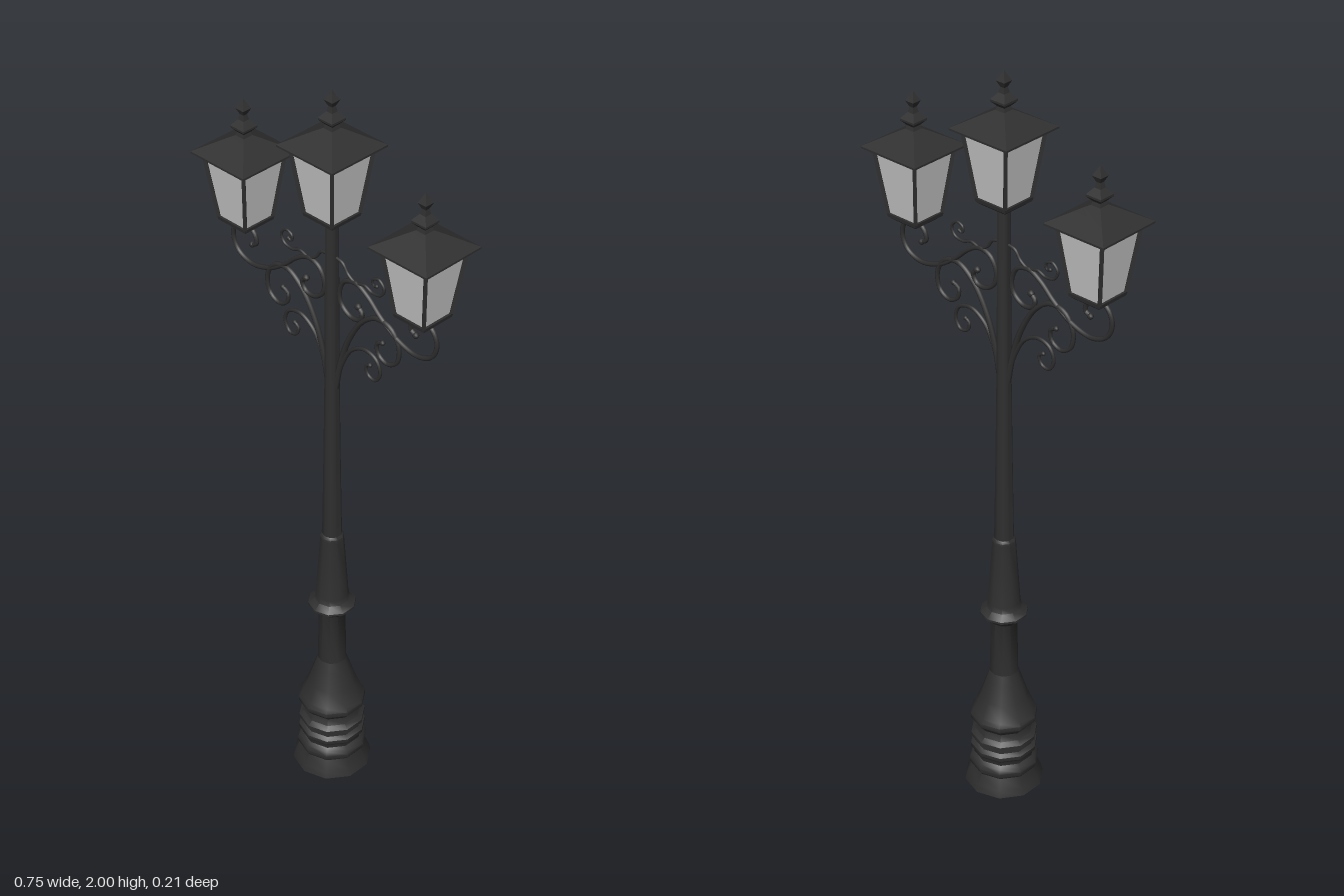
import * as THREE from 'three';
import { toCreasedNormals } from 'three/addons/utils/BufferGeometryUtils.js';

const iron = new THREE.MeshStandardMaterial({ color: 0x2f2f2f });
iron.name = 'dark iron';
const glass = new THREE.MeshStandardMaterial({ color: 0xc8c8c8 });
glass.name = 'pale glass';

function add(parent, geometry, material, name) {
  const mesh = new THREE.Mesh(geometry, material);
  mesh.name = name;
  parent.add(mesh);
  return mesh;
}

// Turned shape from [radius, height] pairs
function turned(profile, sides, crease) {
  const points = profile.map(([r, y]) => new THREE.Vector2(r, y));
  return toCreasedNormals(new THREE.LatheGeometry(points, sides), crease);
}

// Square stack from [half width, height] pairs
function square(profile) {
  const g = turned(profile.map(([w, y]) => [w * Math.SQRT2, y]), 4, 0.3);
  return g.rotateY(Math.PI / 4);
}

// Straight square bar between two points
function bar(parent, a, b, width, name) {
  const from = new THREE.Vector3(...a), to = new THREE.Vector3(...b);
  const mesh = add(parent, new THREE.BoxGeometry(width, width, from.distanceTo(to)), iron, name);
  mesh.position.copy(from).lerp(to, 0.5);
  mesh.lookAt(to);
}

// Wrought scroll: a tube that changes radius along its length, with a bead at its curled end
function scroll(parent, points, r0, r1, bead, name) {
  const path = new THREE.CatmullRomCurve3(points.map(([x, y]) => new THREE.Vector3(x, y, 0)));
  const steps = points.length * 5, sides = 6;
  const g = new THREE.TubeGeometry(path, steps, 1, sides);
  const pos = g.attributes.position, v = new THREE.Vector3();
  for (let i = 0; i <= steps; i++) {
    const c = path.getPointAt(i / steps);
    const r = THREE.MathUtils.lerp(r0, r1, i / steps);
    for (let j = 0; j <= sides; j++) {
      const k = i * (sides + 1) + j;
      v.fromBufferAttribute(pos, k).sub(c).multiplyScalar(r).add(c);
      pos.setXYZ(k, v.x, v.y, v.z);
    }
  }
  add(parent, g, iron, name);
  const end = points[points.length - 1];
  add(parent, new THREE.SphereGeometry(bead, 8, 6), iron, name + 'Bead').position.set(end[0], end[1], 0);
}

// Square lantern, local y = 0 at its underside
function lantern(name) {
  const group = new THREE.Group();
  group.name = name;
  const low = 0.045, high = 0.067, y0 = 0.02, y1 = 0.192;
  add(group, square([[0, 0], [0.034, 0], [0.046, 0.01], [0.048, 0.02], [0, 0.02]]), iron, 'lanternFloor');
  add(group, square([[low - 0.003, y0], [high - 0.003, y1]]), glass, 'panes');
  for (const sx of [-1, 1]) {
    for (const sz of [-1, 1]) {
      bar(group, [sx * low, y0, sz * low], [sx * high, y1, sz * high], 0.009, 'cornerPost');
    }
    bar(group, [sx * high, y1 - 0.003, -high], [sx * high, y1 - 0.003, high], 0.009, 'topRail');
    bar(group, [-high, y1 - 0.003, sx * high], [high, y1 - 0.003, sx * high], 0.009, 'topRail');
  }
  // Roof with thin eave, then the stepped finial
  add(group, square([[0, 0.19], [0.088, 0.19], [0.088, 0.195], [0.025, 0.232], [0.014, 0.238], [0, 0.238]]), iron, 'roof');
  add(group, square([[0.016, 0.23], [0.011, 0.247], [0.022, 0.259], [0.022, 0.264], [0.009, 0.28],
    [0.006, 0.294], [0.013, 0.309], [0.005, 0.324], [0, 0.335]]), iron, 'finial');
  return group;
}

export function createModel() {
  const model = new THREE.Group();
  model.name = 'streetLamp';

  // Ten-sided post: moulded foot, flared pedestal, collar and tapering shaft
  add(model, turned([
    [0, 0], [0.103, 0], [0.098, 0.018], [0.085, 0.05], [0.089, 0.056], [0.091, 0.068], [0.086, 0.08],
    [0.078, 0.088], [0.08, 0.1], [0.087, 0.108], [0.087, 0.118], [0.077, 0.126], [0.077, 0.136],
    [0.086, 0.142], [0.086, 0.152], [0.074, 0.162], [0.07, 0.182], [0.087, 0.202], [0.087, 0.214],
    [0.08, 0.225], [0.062, 0.268], [0.046, 0.318], [0.037, 0.345],
  ], 10, 0.7), iron, 'base');
  add(model, turned([
    [0.037, 0.345], [0.034, 0.5], [0.042, 0.51], [0.061, 0.525], [0.061, 0.531], [0.045, 0.545],
    [0.042, 0.56], [0.036, 0.65], [0.03, 0.738], [0.03, 0.746], [0.025, 0.752],
  ], 10, 0.7), iron, 'collaredColumn');
  add(model, turned([[0.025, 0.75], [0.021, 1.0], [0.018, 1.25], [0.016, 1.68]], 10, 0.7), iron, 'shaft');

  const top = lantern('centreLantern');
  top.position.y = 1.665;
  model.add(top);

  // Left and right arms
  for (const side of [1, -1]) {
    const arm = new THREE.Group();
    arm.name = side > 0 ? 'leftArm' : 'rightArm';
    scroll(arm, [[0.012, 1.2], [0.028, 1.28], [0.055, 1.36], [0.098, 1.43], [0.145, 1.463], [0.19, 1.455],
      [0.215, 1.415], [0.208, 1.37], [0.178, 1.353], [0.15, 1.367], [0.146, 1.395], [0.163, 1.404]],
    0.008, 0.005, 0.007, 'largeScroll');
    scroll(arm, [[0.014, 1.22], [0.035, 1.285], [0.065, 1.335], [0.105, 1.357], [0.143, 1.347],
      [0.157, 1.315], [0.142, 1.287], [0.118, 1.292], [0.112, 1.314], [0.124, 1.322]],
    0.006, 0.004, 0.006, 'lowerScroll');
    scroll(arm, [[0.085, 1.467], [0.098, 1.452], [0.088, 1.432], [0.06, 1.428], [0.032, 1.447], [0.024, 1.48],
      [0.042, 1.517], [0.078, 1.527], [0.115, 1.508], [0.155, 1.472], [0.21, 1.436], [0.27, 1.422],
      [0.315, 1.44], [0.331, 1.48], [0.316, 1.515], [0.285, 1.525], [0.257, 1.51], [0.251, 1.485], [0.266, 1.476]],
    0.006, 0.006, 0.008, 'lanternArm');
    add(arm, new THREE.SphereGeometry(0.009, 8, 6), iron, 'innerBead').position.set(0.085, 1.467, 0);
    scroll(arm, [[0.012, 1.568], [0.035, 1.562], [0.052, 1.54], [0.075, 1.528], [0.105, 1.534], [0.13, 1.526],
      [0.157, 1.532], [0.166, 1.553], [0.15, 1.57], [0.13, 1.562], [0.133, 1.547], [0.143, 1.55]],
    0.004, 0.0035, 0.005, 'upperScroll');
    // Mirror through a half turn, as the scrolls are flat in z
    arm.rotation.y = side > 0 ? 0 : Math.PI;
    model.add(arm);

    const lamp = lantern(side > 0 ? 'leftLantern' : 'rightLantern');
    lamp.position.set(side * 0.286, 1.527, 0);
    model.add(lamp);
  }
  return model;
}
